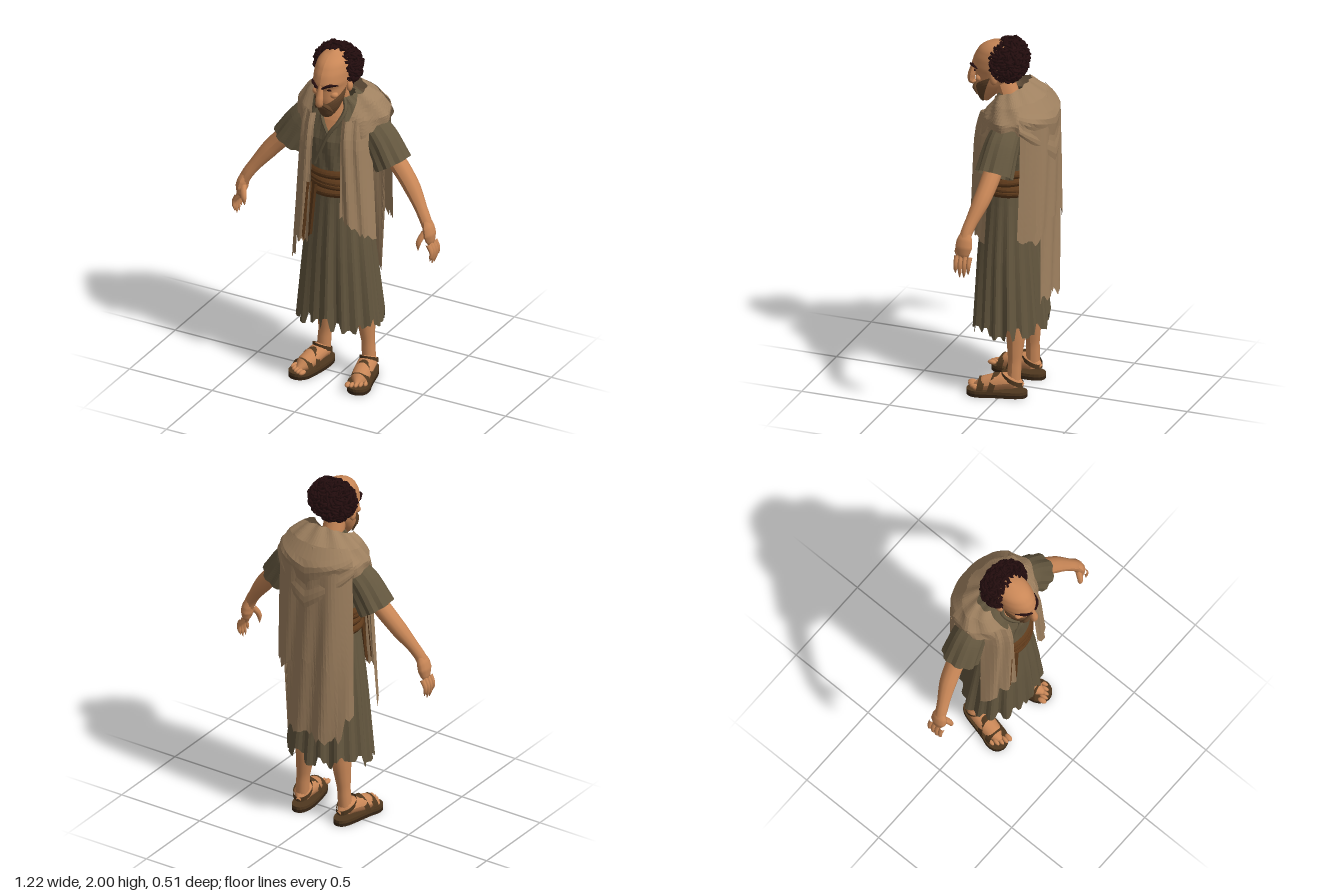
import * as THREE from 'three';
import { mergeGeometries } from 'three/addons/utils/BufferGeometryUtils.js';

const mat = (name, color, side = THREE.FrontSide) => {
  const m = new THREE.MeshStandardMaterial({ color, side });
  m.name = name;
  return m;
};
const both = THREE.DoubleSide;
const skin = mat('skin', 0xc98757), tunic = mat('tunic cloth', 0x64573f, both);
const shawl = mat('shawl cloth', 0x9f8160, both), sash = mat('sash cloth', 0x5e3a1b, both);
const hair = mat('dark hair', 0x240d0e), beardMat = mat('beard', 0x604228, both);
const leather = mat('sandal leather', 0x50381f, both), soleMat = mat('sole', 0x352414);

// Profiles: height, half width, front z, back z
const BODY = [[0.33, 0.24, 0.197, -0.197], [0.8, 0.195, 0.175, -0.155], [1.15, 0.155, 0.145, -0.125],
  [1.28, 0.155, 0.14, -0.12], [1.45, 0.195, 0.14, -0.17], [1.58, 0.2, 0.1, -0.18],
  [1.66, 0.13, 0.06, -0.13], [1.69, 0.075, 0.05, -0.08]];
const MANTLE = [[0.6, 0.25, 0.19, -0.235], [1.2, 0.25, 0.172, -0.235], [1.44, 0.25, 0.165, -0.235],
  [1.52, 0.255, 0.155, -0.237], [1.6, 0.262, 0.13, -0.232], [1.68, 0.21, 0.09, -0.19],
  [1.72, 0.16, 0.06, -0.14], [1.76, 0.1, 0.02, -0.09]];
const HEAD = [[1.62, 0.015, 0.165, 0.13], [1.64, 0.034, 0.175, 0.11], [1.68, 0.058, 0.188, 0.07],
  [1.73, 0.075, 0.2, 0.02], [1.8, 0.087, 0.205, -0.04], [1.825, 0.09, 0.226, -0.05],
  [1.88, 0.09, 0.21, -0.055], [1.93, 0.08, 0.18, -0.05], [1.96, 0.055, 0.14, -0.02], [1.975, 0.004, 0.07, 0.05]];

function row(table, y) {
  let i = 0;
  while (i < table.length - 2 && y > table[i + 1][0]) i++;
  const t = THREE.MathUtils.clamp((y - table[i][0]) / (table[i + 1][0] - table[i][0]), 0, 1);
  return table[i].map((n, k) => n + (table[i + 1][k] - n) * t);
}
// Point on an oval profile; angle 0 faces the front
function around(table, y, a, off = 0) {
  const [, rx, f, b] = row(table, y);
  return [(rx + off) * Math.sin(a), y, (f + b) / 2 + ((f - b) / 2 + off) * Math.cos(a)];
}
const noise = (n) => { const s = Math.sin(n * 127.1 + 3.7) * 43758.5453; return s - Math.floor(s); };
const ragged = (u, seed, n = 26) => noise(Math.round(u * n) + seed * 31);

// Grid surface from a rule; u runs across, v upwards
function surface(fn, nu, nv, flat = true) {
  const p = [], idx = [], w = nu + 1;
  for (let j = 0; j <= nv; j++) for (let i = 0; i <= nu; i++) p.push(...fn(i / nu, j / nv));
  for (let j = 0; j < nv; j++) for (let i = 0; i < nu; i++) {
    const a = j * w + i;
    idx.push(a, a + 1, a + w + 1, a, a + w + 1, a + w);
  }
  let g = new THREE.BufferGeometry();
  g.setAttribute('position', new THREE.Float32BufferAttribute(p, 3));
  g.setIndex(idx);
  if (flat) g = g.toNonIndexed();
  g.computeVertexNormals();
  return g;
}
// Tapered tube along a curve, optionally pleated towards its end
function limb(points, radii, sides = 12, pleat = 0) {
  const curve = new THREE.CatmullRomCurve3(points.map((q) => new THREE.Vector3(...q)));
  const n = 20, g = new THREE.TubeGeometry(curve, n, 1, sides), pos = g.attributes.position, v = new THREE.Vector3();
  for (let i = 0; i <= n; i++) {
    const c = curve.getPointAt(i / n), k = (i / n) * (radii.length - 1), s = Math.min(Math.floor(k), radii.length - 2);
    const r = radii[s] + (radii[s + 1] - radii[s]) * (k - s);
    for (let j = 0; j <= sides; j++) {
      const q = i * (sides + 1) + j, fold = 1 + pleat * (i / n) * ((j % sides) % 3 === 0 ? -1 : 0.6);
      v.fromBufferAttribute(pos, q).sub(c).multiplyScalar(r * fold).add(c);
      pos.setXYZ(q, v.x, v.y, v.z);
    }
  }
  g.computeVertexNormals();
  return g;
}
const ball = (x, y, z, rx, ry, rz) => new THREE.SphereGeometry(1, 14, 10).scale(rx, ry, rz).translate(x, y, z);

export function createModel() {
  const root = new THREE.Group();
  const add = (name, geo, m, parent = root) => {
    const mesh = new THREE.Mesh(geo, m);
    mesh.name = name;
    parent.add(mesh);
    return mesh;
  };
  const TAU = Math.PI * 2;

  // Tunic: pleated skirt with torn hem, and upper body
  add('skirt', surface((u, v) => {
    const a = u * TAU, hem = 0.345 + 0.09 * ragged(u % 1, 1, 48) ** 2;
    const y = hem + (1.17 - hem) * v;
    const fold = (Math.sin(a * 17) + 0.6 * Math.sin(a * 10 + 1)) * 0.009 * (1.1 - v);
    return around(BODY, y, a, fold);
  }, 96, 10), tunic);
  add('tunicTop', surface((u, v) => {
    const a = u * TAU, y = 1.14 + 0.55 * v;
    return around(BODY, y, a, 0.004 * Math.sin(a * 12 + y * 14));
  }, 60, 14), tunic);
  add('chest', surface((u, v) => around(BODY, 1.5 + 0.19 * v, (u * 2 - 1) * (0.02 + 0.6 * v), 0.008), 8, 8), skin);
  for (const s of [-1, 1]) {
    const edge = [0, 0.35, 0.7, 1].map((v) => around(BODY, 1.5 + 0.19 * v, s * (0.02 + 0.6 * v), 0.008));
    if (s > 0) edge.unshift(around(BODY, 1.3, -0.55, 0.004));
    add('collarEdge', limb(edge, [0.01, 0.012, 0.012], 6), tunic);
  }

  // Wrapped sash with hanging tail
  [1.155, 1.19, 1.225, 1.26].forEach((y0, k) => add('sashWrap', surface((u, v) => {
    const a = u * TAU, bulge = Math.sin(v * Math.PI);
    const p = around(BODY, y0, a, 0.006 + 0.016 * bulge);
    p[1] += (v - 0.5) * 0.052 + 0.01 * Math.sin(a + k * 2.1);
    return p;
  }, 40, 5), sash));
  add('sashTail', surface((u, v) => {
    const low = 0.84 + 0.07 * ragged(u, 4, 6), y = low + (1.2 - low) * v;
    return [-0.145 + 0.025 * v + u * 0.07, y, 0.172 - 0.01 * v + 0.008 * Math.sin(u * 9)];
  }, 6, 6), sash);

  // Shawl: mantle over the shoulders
  add('shawlMantle', surface((u, v) => {
    const a0 = 0.33 + 0.5 * v * v, a = a0 + u * (TAU - 2 * a0);
    const low = 1.44 + 0.11 * Math.sin(a) ** 2 + 0.03 * ragged(u, 7, 60);
    const top = 1.735 - 0.025 * Math.cos(a), y = low + (top - low) * v;
    return around(MANTLE, y, a, 0.006 * Math.sin(a * 9 + v * 5));
  }, 60, 12), shawl);
  // Front drapes
  for (const s of [-1, 1]) add('shawlFrontDrape', surface((u, v) => {
    const base = s > 0 ? 1.06 - 0.13 * u : 0.87 - (u > 0.6 ? 0.2 * (u - 0.3) / 0.7 : 0);
    const low = base - 0.05 * ragged(u, 9 + s, 14), y = low + (1.6 - low) * v;
    const x = 0.08 + 0.125 * u + 0.045 * (1 - v) * (0.3 + 0.7 * u);
    return [s * x, y, row(MANTLE, y)[2] - 0.115 * u ** 2.5 + 0.009 * Math.sin(u * 14 + y * 3)];
  }, 14, 12), shawl);
  // Back cape in two torn layers
  const cape = (name, hem, top, off, seed) => add(name, surface((u, v) => {
    const s = u * 2 - 1, low = hem(s) + 0.07 * ragged(u, seed, 30);
    const y = low + (top - low) * v;
    return [s * (0.225 + 0.02 * (1 - v)), y,
      -0.232 - off + 0.1 * Math.abs(s) ** 3.5 + 0.008 * Math.sin(s * 11 + y * 4) * (1 - v * 0.6)];
  }, 30, 14), shawl);
  cape('capeLong', (s) => (s > 0.55 ? 0.88 : s < -0.8 ? 0.66 : 0.52), 1.6, 0, 12);
  cape('capeShort', (s) => 0.98 - 0.08 * Math.abs(s), 1.56, 0.008, 15);
  // Hood hanging in a V at the back
  add('hoodDrape', surface((u, v) => {
    const s = u * 2 - 1, low = 1.33 + 0.22 * Math.abs(s), y = low + (1.69 - low) * v;
    const p = around(MANTLE, y, Math.PI - s * 1.1, 0.012 + 0.006 * Math.sin(v * 12));
    return p;
  }, 20, 10), shawl);

  // Sleeves, arms and hands
  for (const s of [-1, 1]) {
    const arm = new THREE.Group();
    arm.name = s > 0 ? 'leftArm' : 'rightArm';
    root.add(arm);
    const m = (pts) => pts.map(([x, y, z]) => [s * x, y, z]);
    add('sleeve', limb(m([[0.12, 1.56, -0.04], [0.22, 1.47, -0.03], [0.308, 1.33, -0.02]]), [0.075, 0.093, 0.102], 24, 0.07).toNonIndexed(), tunic, arm)
      .geometry.computeVertexNormals();
    add('forearm', limb(m([[0.2, 1.5, -0.03], [0.33, 1.35, -0.02], [0.43, 1.235, 0], [0.54, 1.08, 0.045], [0.562, 1.03, 0.05]]),
      [0.05, 0.05, 0.05, 0.046, 0.034, 0.03]), skin, arm);
    add('palm', limb(m([[0.54, 1.08, 0.045], [0.565, 1.02, 0.05], [0.58, 0.94, 0.05], [0.58, 0.925, 0.05]]),
      [0.028, 0.04, 0.043, 0.03, 0.003]).translate(-s * 0.565, 0, -0.05).scale(0.72, 1, 1.1).translate(s * 0.565, 0, 0.05), skin, arm);
    for (let i = 0; i < 4; i++) {
      const z = 0.012 + i * 0.024, tip = 0.865 - (i === 1 || i === 2 ? 0.022 : 0);
      add('finger', limb(m([[0.578, 0.96, z], [0.598, 0.915, z], [0.59, tip, z + 0.004]]), [0.015, 0.014, 0.012, 0.01, 0.002], 7), skin, arm);
    }
    add('thumb', limb(m([[0.55, 1.02, 0.07], [0.53, 0.97, 0.1], [0.525, 0.92, 0.1]]), [0.018, 0.017, 0.014, 0.002], 7), skin, arm);
  }

  // Legs and sandals
  const outline = new THREE.Shape();
  outline.moveTo(0, -0.165);
  outline.bezierCurveTo(0.075, -0.165, 0.04, -0.02, 0.066, 0.08);
  outline.bezierCurveTo(0.075, 0.185, -0.045, 0.185, -0.06, 0.1);
  outline.bezierCurveTo(-0.068, 0, -0.07, -0.165, 0, -0.165);
  const strap = (z, r, h, width, lean) => surface((u, v) => {
    const a = u * Math.PI;
    return [Math.cos(a) * r, 0.025 + Math.sin(a) * h, z + (v - 0.5) * width - lean * Math.sin(a)];
  }, 14, 1);
  for (const s of [-1, 1]) {
    add('leg', limb([[s * 0.11, 0.62, -0.06], [s * 0.115, 0.36, -0.068], [s * 0.13, 0.2, -0.068], [s * 0.139, 0.06, -0.065]],
      [0.06, 0.058, 0.052, 0.036, 0.038]), skin);
    const foot = new THREE.Group();
    foot.name = s > 0 ? 'leftFoot' : 'rightFoot';
    foot.position.set(s * 0.155, 0, 0.025);
    foot.rotation.y = s * 0.18;
    foot.scale.x = s;
    root.add(foot);
    const sole = (depth, y) => new THREE.ExtrudeGeometry(outline, { depth, bevelEnabled: false, curveSegments: 10 })
      .rotateX(Math.PI / 2).scale(1, 1, 1).translate(0, y, 0);
    add('sole', sole(0.018, 0.018), soleMat, foot);
    add('insole', sole(0.016, 0.034), leather, foot);
    add('foot', limb([[0, 0.065, -0.145], [0, 0.085, -0.08], [0, 0.072, 0.01], [0, 0.05, 0.1], [0, 0.045, 0.125]],
      [0.01, 0.044, 0.046, 0.046, 0.042, 0.01], 14).scale(1.1, 1, 1), skin, foot);
    for (let i = 0; i < 5; i++)
      add('toe', ball(-0.043 + i * 0.022, 0.046, 0.138 - i * i * 0.0025, i ? 0.011 : 0.015, 0.013, 0.025), skin, foot);
    add('toeStrap', strap(0.085, 0.06, 0.072, 0.036, 0.01), leather, foot);
    add('instepStrap', strap(0.03, 0.058, 0.1, 0.034, 0.03), leather, foot);
    add('ankleStrap', surface((u, v) => {
      const a = u * TAU;
      return [Math.sin(a) * 0.05, 0.085 + 0.03 * Math.cos(a) + v * 0.026, -0.085 + Math.cos(a) * 0.058];
    }, 20, 1), leather, foot);
  }

  // Head and face
  add('neck', limb([[0, 1.54, -0.03], [0, 1.66, 0.015], [0, 1.78, 0.06]], [0.07, 0.06, 0.058]), skin);
  add('head', surface((u, v) => around(HEAD, 1.62 + 0.355 * v, u * TAU), 28, 28, false), skin);
  add('nose', limb([[0, 1.83, 0.212], [0, 1.775, 0.225], [0, 1.722, 0.23], [0, 1.705, 0.195]],
    [0.012, 0.016, 0.021, 0.02, 0.004], 8), skin);
  add('beard', surface((u, v) => {
    const a = (u * 2 - 1) * 1.55, top = 1.7 + 0.085 * Math.abs(a / 1.55) ** 1.4;
    return around(HEAD, 1.622 + (top - 1.622) * v, a, 0.011 * (1 - v ** 6));
  }, 24, 8), beardMat);
  add('beardTip', ball(0, 1.645, 0.155, 0.034, 0.022, 0.025), beardMat);
  for (const s of [-1, 1]) {
    add('moustache', limb([[0, 1.708, 0.204], [s * 0.03, 1.698, 0.2], [s * 0.05, 1.665, 0.176]], [0.01, 0.012, 0.004], 6), beardMat);
    add('eyebrow', limb([[s * 0.012, 1.815, 0.228], [s * 0.045, 1.832, 0.213], [s * 0.078, 1.822, 0.165]], [0.005, 0.009, 0.003], 6), hair);
    add('eye', ball(s * 0.038, 1.798, 0.194, 0.016, 0.006, 0.006), hair);
    add('ear', ball(s * 0.094, 1.785, 0.068, 0.016, 0.034, 0.022), skin);
    add('cheekbone', ball(s * 0.05, 1.762, 0.165, 0.026, 0.02, 0.022), skin);
  }

  // Curly hair around the back and sides of a bald brow
  const curls = [ball(0, 1.87, 0.0, 0.11, 0.108, 0.072)];
  for (let i = 0; i < 300; i++) {
    const h = 1 - (2 * (i + 0.5)) / 300, r = Math.sqrt(1 - h * h), a = i * 2.39996;
    const x = 0.122 * r * Math.cos(a), y = 1.872 + 0.106 * h, z = 0.018 + 0.09 * r * Math.sin(a);
    if (z > 0.05 + 0.3 * Math.abs(x) || y < 1.768 + 0.25 * Math.max(z, 0)) continue;
    const size = 0.015 + 0.006 * noise(i);
    curls.push(new THREE.TorusGeometry(size, 0.0075, 5, 9).rotateX(noise(i + 500) * 3).rotateY(noise(i + 900) * 6)
      .translate(x, y, z));
  }
  add('curlyHair', mergeGeometries(curls), hair);
  return root;
}
